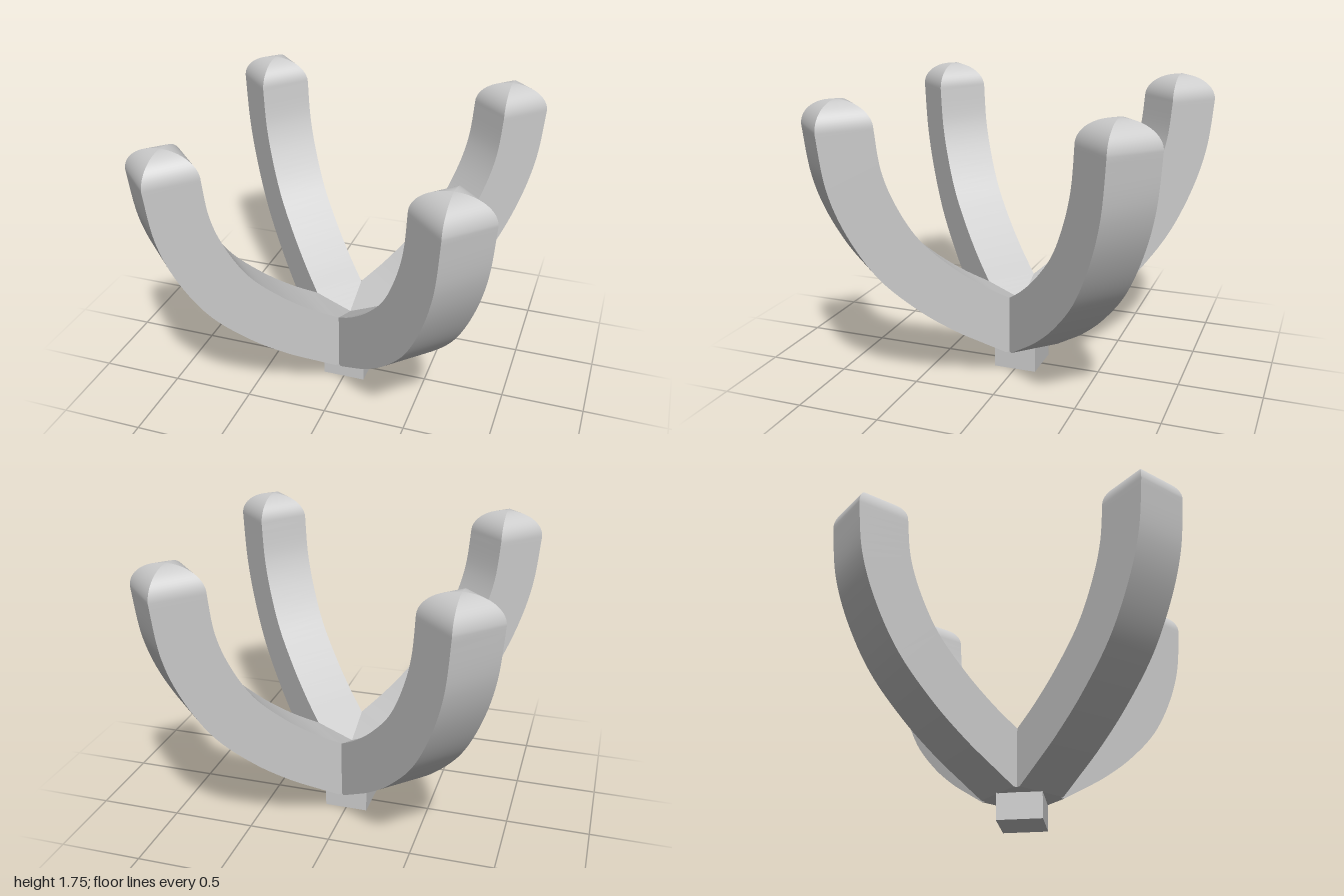
import * as THREE from 'three';

const HALF = 0.157; // half the width of an arm

// Skin a list of square rings { inner, outer, w } with four smooth strips and hard corners.
function skinRings(rings) {
  const pos = [], index = [];
  const corners = rings.map(({ inner, outer, w }) => [
    [inner.x, inner.y, -w], [inner.x, inner.y, w],
    [outer.x, outer.y, w], [outer.x, outer.y, -w],
  ]);
  for (let side = 0; side < 4; side++) {
    const base = pos.length / 3;
    corners.forEach((c, i) => {
      pos.push(...c[side], ...c[(side + 1) % 4]);
      if (i === 0) return;
      const a = base + (i - 1) * 2;
      index.push(a, a + 1, a + 3, a, a + 3, a + 2);
    });
  }
  const g = new THREE.BufferGeometry();
  g.setAttribute('position', new THREE.Float32BufferAttribute(pos, 3));
  g.setIndex(index);
  g.computeVertexNormals();
  return g;
}

const spline = (pts) => new THREE.SplineCurve(pts.map(([r, y]) => new THREE.Vector2(r, y)));

export function createModel() {
  const model = new THREE.Group();
  model.name = 'fourArmCradle';
  const mat = new THREE.MeshStandardMaterial({ color: 0xcccccc });

  // Inner and outer edges of an arm: distance from the axis, height
  const inner = spline([[0, 0.415], [0.157, 0.508], [0.331, 0.615], [0.52, 0.76],
    [0.708, 0.947], [0.836, 1.16], [0.913, 1.37], [0.943, 1.6]]);
  const outer = spline([[0.18, 0.156], [0.32, 0.24], [0.509, 0.358], [0.727, 0.525],
    [0.953, 0.753], [1.118, 1.024], [1.217, 1.296], [1.257, 1.6]]);

  const rings = [];
  const steps = 42;
  for (let i = 0; i <= steps; i++) {
    rings.push({ inner: inner.getPoint(i / steps), outer: outer.getPoint(i / steps), w: HALF });
  }

  // Domed tip: square rings shrinking along a quarter ellipse
  for (let i = 1; i <= 16; i++) {
    const a = (i / 16) * Math.PI / 2;
    const w = HALF * Math.cos(a), y = 1.6 + 0.15 * Math.sin(a);
    rings.push({ inner: new THREE.Vector2(1.1 - w, y), outer: new THREE.Vector2(1.1 + w, y), w });
  }
  const armGeo = skinRings(rings);

  // Flat underside and flanks joining each arm to the axis
  const rootGeo = skinRings([
    { inner: rings[0].inner, outer: new THREE.Vector2(0, 0.16), w: HALF }, rings[0]]);

  // Four arms on the diagonals
  for (let k = 0; k < 4; k++) {
    const arm = new THREE.Group();
    arm.name = 'arm' + (k + 1);
    const limb = new THREE.Mesh(armGeo, mat);
    limb.name = 'curvedLimb';
    const root = new THREE.Mesh(rootGeo, mat);
    root.name = 'armRoot';
    arm.add(limb, root);
    arm.rotation.y = Math.PI / 4 + k * Math.PI / 2;
    model.add(arm);
  }

  // Square peg below the arms
  const peg = new THREE.Mesh(new THREE.BoxGeometry(0.265, 0.2, 0.265), mat);
  peg.name = 'basePeg';
  peg.position.y = 0.1;
  model.add(peg);
  return model;
}
